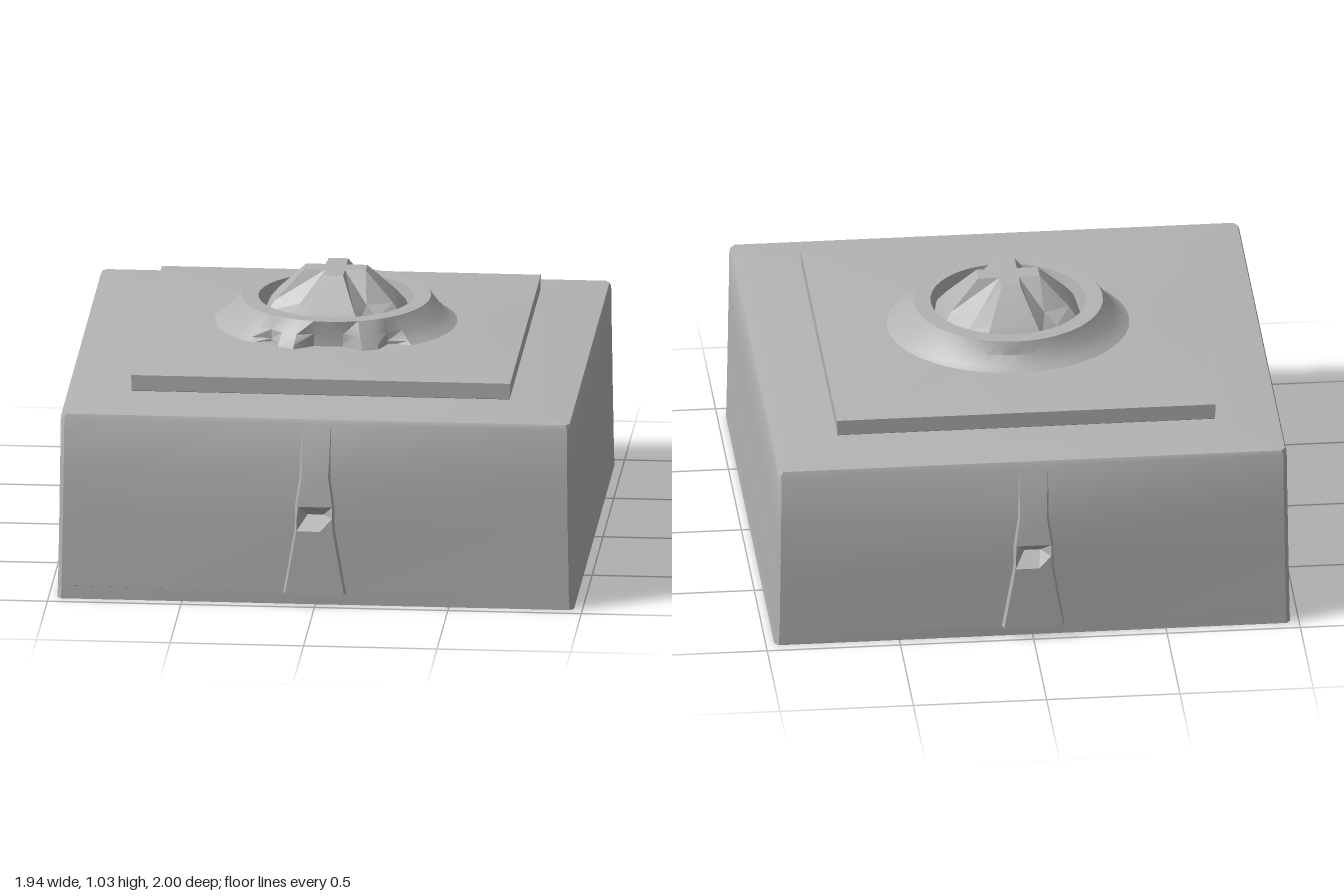
import * as THREE from 'three';
import { toCreasedNormals } from 'three/addons/utils/BufferGeometryUtils.js';

const stone = new THREE.MeshStandardMaterial({ color: 0xb3b3b3 });
stone.name = 'grey stone';

// Skins a stack of closed loops, each running from +z towards +x
function loft(name, loops, capStart, capEnd, crease = 0.5) {
  const pos = [];
  const tri = (a, b, c) => pos.push(...a, ...b, ...c);
  const cap = (loop, up) => {
    const c = [0, 1, 2].map(k => loop.reduce((s, p) => s + p[k], 0) / loop.length);
    loop.forEach((p, i) => {
      const q = loop[(i + 1) % loop.length];
      if (up) tri(c, p, q); else tri(c, q, p);
    });
  };
  for (let r = 0; r < loops.length - 1; r++) {
    const lo = loops[r], hi = loops[r + 1], n = lo.length;
    for (let i = 0; i < n; i++) {
      const j = (i + 1) % n;
      tri(lo[i], lo[j], hi[j]);
      tri(lo[i], hi[j], hi[i]);
    }
  }
  if (capStart) cap(loops[0], false);
  if (capEnd) cap(loops[loops.length - 1], true);
  const g = new THREE.BufferGeometry();
  g.setAttribute('position', new THREE.Float32BufferAttribute(pos, 3));
  const mesh = new THREE.Mesh(toCreasedNormals(g, crease), stone);
  mesh.name = name;
  return mesh;
}

// Loop of n points whose radius depends on the angle
const polar = (n, y, radius) => Array.from({ length: n }, (_, i) => {
  const a = i / n * Math.PI * 2, r = radius(a, i);
  return [Math.sin(a) * r, y, Math.cos(a) * r];
});
const square = (y, half) => polar(64, y, a => half / Math.max(Math.abs(Math.sin(a)), Math.abs(Math.cos(a))));

// Body row: corner, swelling panel, raised door strip and niche, repeated on the back
function bodyRow([y, half, zCorner, w, zPanel, zStrip, n, zNiche]) {
  const right = [[n, zNiche], [w, zStrip], [w + 0.008, zPanel], [half - 0.015, zCorner], [half, zCorner - 0.02]];
  const left = right.map(([x, z]) => [-x, z]).reverse();
  const front = [...left, ...right].map(([x, z]) => [x, y, z]);
  return [...front, ...front.map(([x, , z]) => [-x, y, -z])];
}

export function createModel() {
  const model = new THREE.Group();

  // Square body with a shallow sloping top
  model.add(loft('body', [
    [0, 0.968, 0.958, 0.11, 0.958, 0.958, 0.05, 0.958],
    [0.05, 0.965, 0.957, 0.11, 0.96, 0.96, 0.05, 0.96],
    [0.052, 0.965, 0.962, 0.11, 0.98, 1.0, 0.05, 1.0],
    [0.295, 0.961, 0.958, 0.068, 0.983, 1.0, 0.02, 1.0],
    [0.345, 0.96, 0.957, 0.066, 0.984, 1.0, 0.03, 0.94],
    [0.39, 0.96, 0.955, 0.066, 0.984, 0.998, 0.06, 0.998],
    [0.5, 0.958, 0.952, 0.05, 0.978, 0.984, 0.025, 0.985],
    [0.7, 0.956, 0.945, 0.05, 0.947, 0.947, 0.025, 0.947],
    [0.715, 0.95, 0.94, 0.05, 0.94, 0.94, 0.025, 0.94],
    [0.74, 0.7, 0.7, 0.05, 0.7, 0.7, 0.025, 0.7],
  ].map(bodyRow), false, true));

  // Underside with a small rectangular pocket
  const rect = (x0, z0, x1, z1) => [[x0, z1], [x1, z1], [x1, z0], [x0, z0]];
  const toPath = pts => pts.map(([x, z]) => new THREE.Vector2(x, z));
  const outline = new THREE.Shape(toPath(rect(-0.965, -0.957, 0.965, 0.957)));
  const opening = rect(-0.87, -0.66, -0.7, -0.24);
  outline.holes.push(new THREE.Path(toPath(opening)));
  const underside = new THREE.Mesh(new THREE.ShapeGeometry(outline).rotateX(Math.PI / 2), stone);
  underside.name = 'underside';
  model.add(underside);
  model.add(loft('undersidePocket', [0.05, 0].map(y => opening.map(([x, z]) => [x, y, z])), true, false));

  // Raised slab, rising slightly towards the ring
  model.add(loft('slab', [
    square(0.735, 0.7), square(0.742, 0.708), square(0.802, 0.71),
    polar(64, 0.822, () => 0.44),
  ], true, true));

  // Ring around the dome, cut back at the front between two small feet
  const flare = (full, foot) => (a, i) => {
    const k = Math.min(i, 40 - i);
    if (k < 2) return 0.35;
    if (k < 4) return foot;
    if (k === 4) return 0.37;
    return full * (1 - 0.07 * Math.cos(a) ** 2);
  };
  model.add(loft('ring', [
    polar(40, 0.812, flare(0.47, 0.42)),
    polar(40, 0.835, flare(0.43, 0.41)),
    polar(40, 0.87, flare(0.395, 0.385)),
    polar(40, 0.92, () => 0.355),
    polar(40, 0.918, () => 0.29),
    polar(40, 0.83, () => 0.275),
  ], false, true));

  // Dome with four arms parted by grooves, ending in a flat cross
  const domeLoop = (y, reach, half, groove) => {
    const pts = [];
    for (let q = 0; q < 4; q++) {
      const c = Math.cos(q * Math.PI / 2), s = Math.sin(q * Math.PI / 2);
      const g = groove * Math.SQRT1_2;
      for (const [u, v] of [[-half, reach], [half, reach], [g, g]]) {
        pts.push([u * c + v * s, y, v * c - u * s]);
      }
    }
    return pts;
  };
  model.add(loft('dome', [
    domeLoop(0.83, 0.275, 0.125, 0.285),
    domeLoop(0.88, 0.25, 0.105, 0.235),
    domeLoop(0.92, 0.22, 0.085, 0.175),
    domeLoop(1.028, 0.115, 0.036, 0.052),
  ], false, true, 0.2));

  return model;
}
